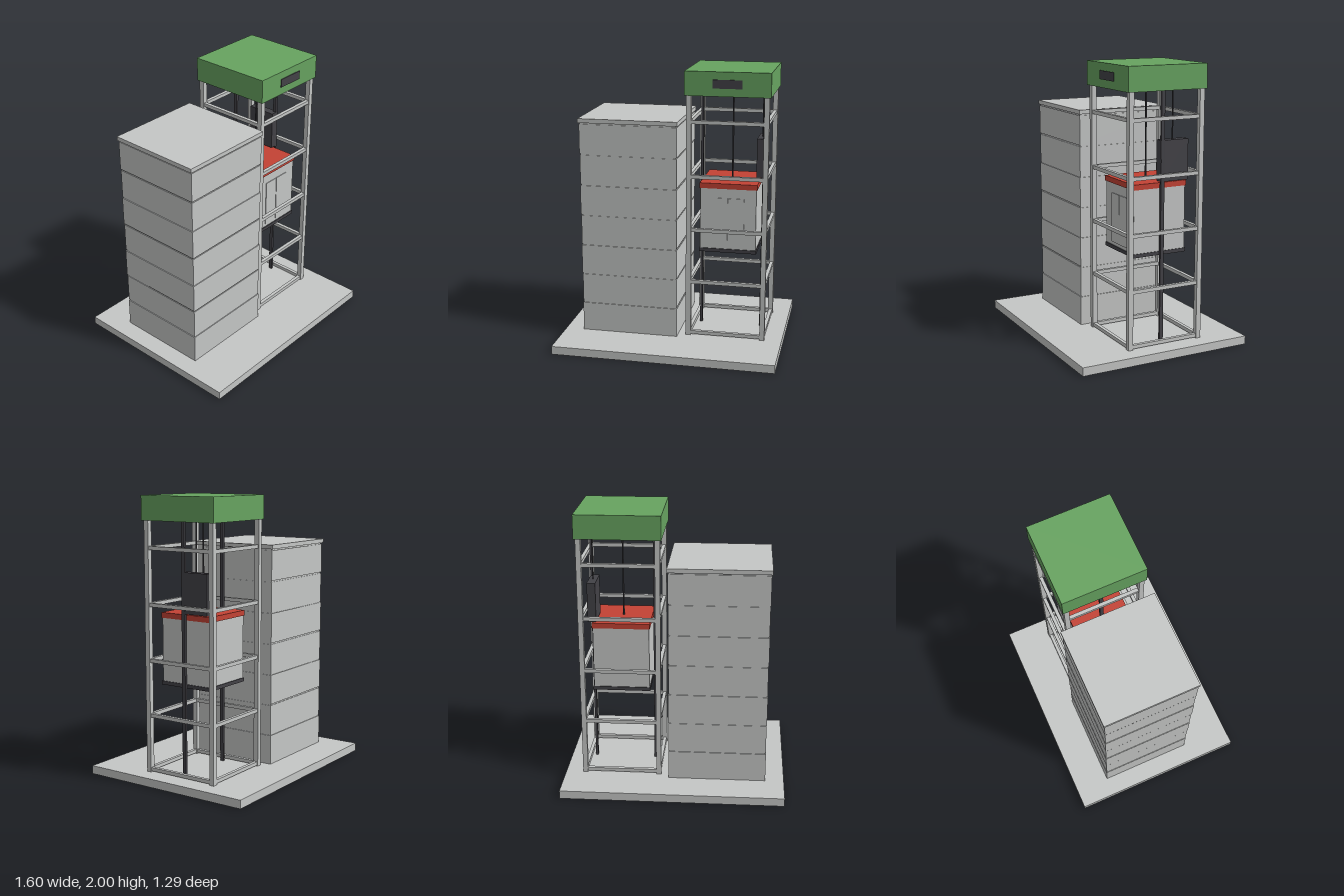
import * as THREE from 'three';

const mat = (name, color) => {
  const m = new THREE.MeshStandardMaterial({ color });
  m.name = name;
  return m;
};

export function createModel() {
  const concrete = mat('concrete grey', 0xc5c7c6);
  const green = mat('roof green', 0x67a360);
  const red = mat('cabin red', 0xc44234);
  const dark = mat('dark steel', 0x434247);

  const model = new THREE.Group();
  model.name = 'liftTower';
  const group = (name) => {
    const g = new THREE.Group();
    g.name = name;
    model.add(g);
    return g;
  };
  // box given by its limits on each axis
  const box = (parent, name, material, [x0, x1], [y0, y1], [z0, z1]) => {
    const mesh = new THREE.Mesh(new THREE.BoxGeometry(x1 - x0, y1 - y0, z1 - z0), material);
    mesh.position.set((x0 + x1) / 2, (y0 + y1) / 2, (z0 + z1) / 2);
    mesh.name = name;
    parent.add(mesh);
  };
  const rope = (parent, name, x, z, y0, y1, r) => {
    const mesh = new THREE.Mesh(new THREE.CylinderGeometry(r, r, y1 - y0, 12), dark);
    mesh.position.set(x, (y0 + y1) / 2, z);
    mesh.name = name;
    parent.add(mesh);
  };

  // ground slab
  box(model, 'baseSlab', concrete, [-0.8, 0.8], [0, 0.06], [-0.645, 0.645]);

  // concrete block cast in seven lifts with shallow recessed joints
  const tower = group('concreteTower');
  const lifts = 7, liftH = 1.56 / lifts;
  box(tower, 'core', concrete, [-0.659, 0.034], [0.06, 1.62], [-0.386, 0.282]);
  for (let i = 0; i < lifts; i++) {
    const y = 0.06 + i * liftH;
    const o = i % 2 ? 0.002 : 0;
    box(tower, 'lift', concrete, [-0.665 + o, 0.04 - o], [y, y + liftH - 0.01], [-0.392 + o, 0.288 - o]);
  }
  box(tower, 'cap', concrete, [-0.673, 0.046], [1.62, 1.65], [-0.4, 0.294]);

  // open shaft frame: four posts and five rings of bars
  const frame = group('shaftFrame');
  const px = [0.114, 0.657], pz = [-0.325, 0.219];
  const around = (c, w) => [c - w / 2, c + w / 2];
  for (const x of px)
    for (const z of pz)
      box(frame, 'post', concrete, around(x, 0.036), [0.06, 1.83], around(z, 0.036));
  for (let i = 0; i < 5; i++) {
    const y = around(0.08 + i * 0.3908, 0.026);
    for (const z of pz) box(frame, 'crossBar', concrete, px, y, around(z, 0.026));
    for (const x of px) box(frame, 'sideBar', concrete, around(x, 0.026), y, pz);
  }

  // guide rails on both sides of the cabin
  for (const x of [0.162, 0.612])
    box(frame, 'guideRail', dark, around(x, 0.017), [0.06, 1.83], around(-0.053, 0.027));

  // machine room on top, with a dark plate on its front
  const room = group('machineRoom');
  box(room, 'housing', green, [0.085, 0.686], [1.83, 2], [-0.354, 0.25]);
  box(room, 'frontPlate', dark, [0.284, 0.488], [1.886, 1.946], [0.248, 0.256]);

  // cabin with floor, roof and a two-leaf door
  const cabin = group('cabin');
  box(cabin, 'body', concrete, [0.185, 0.587], [0.71, 1.16], [-0.25, 0.152]);
  box(cabin, 'floor', dark, [0.18, 0.593], [0.686, 0.712], [-0.256, 0.159]);
  box(cabin, 'roof', red, [0.18, 0.593], [1.158, 1.196], [-0.256, 0.159]);
  box(cabin, 'doorLeaf', concrete, [0.27, 0.383], [0.735, 1.088], [0.15, 0.157]);
  box(cabin, 'doorLeaf', concrete, [0.388, 0.501], [0.735, 1.088], [0.15, 0.157]);
  rope(cabin, 'cabinRope', 0.386, -0.052, 1.19, 1.83, 0.006);

  // counterweight hung beside the cabin
  const weight = group('counterweight');
  box(weight, 'weight', dark, [0.56, 0.62], [1.205, 1.489], [-0.252, -0.038]);
  rope(weight, 'weightRope', 0.59, -0.143, 1.48, 1.83, 0.005);

  return model;
}
